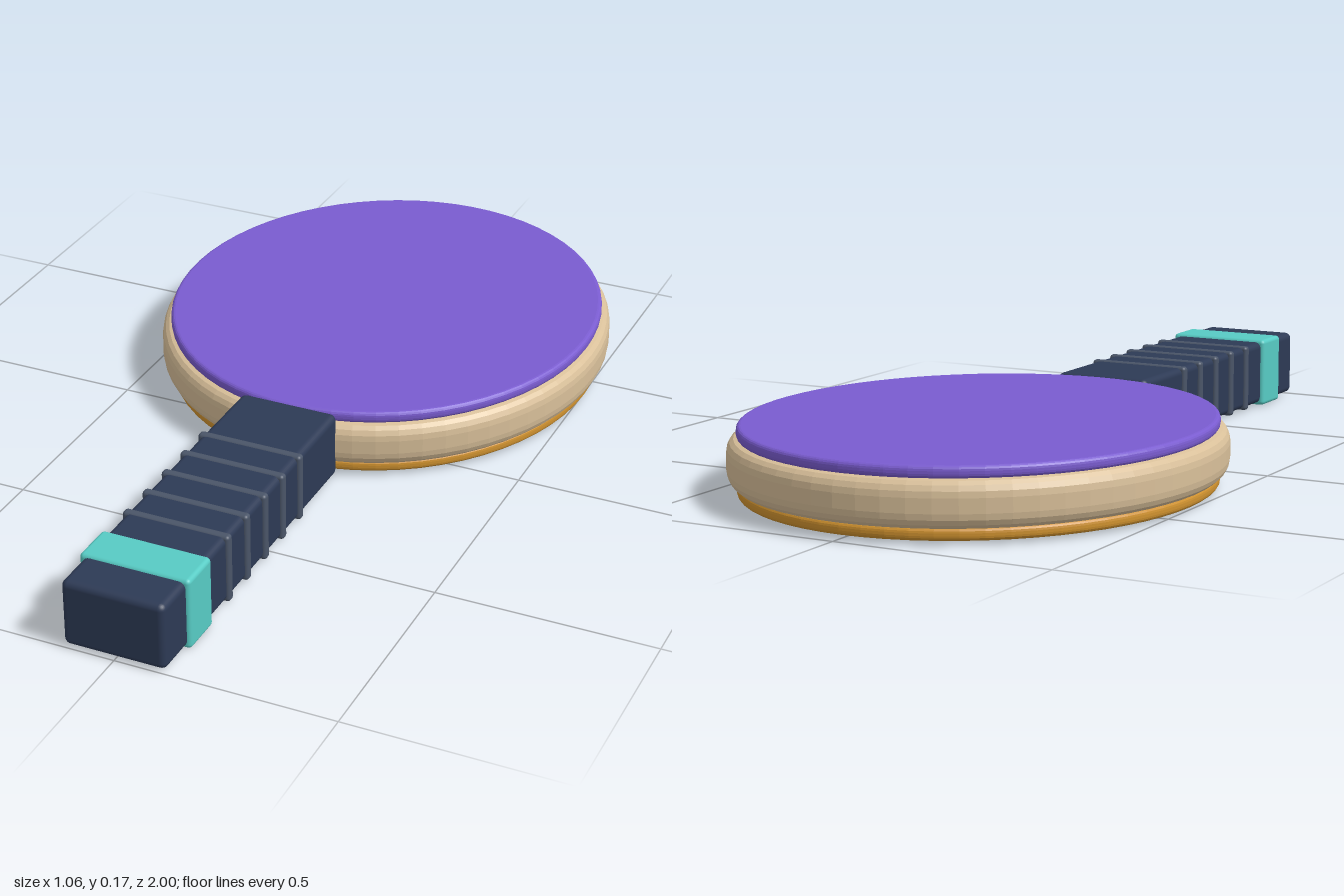
import * as THREE from 'three';
import { RoundedBoxGeometry } from 'three/addons/geometries/RoundedBoxGeometry.js';

const material = (name, color) => {
  const m = new THREE.MeshStandardMaterial({ color });
  m.name = name;
  return m;
};

export function createModel() {
  const wood = material('wood', 0xd9c09a);
  const purple = material('purple rubber', 0x7a5cd0);
  const amber = material('amber rubber', 0xd0922f);
  const navy = material('navy grip', 0x2d3a55);
  const slate = material('slate ribs', 0x4a5568);
  const teal = material('teal band', 0x57cbc4);

  const model = new THREE.Group();
  model.name = 'paddle';

  const add = (name, geometry, mat) => {
    const mesh = new THREE.Mesh(geometry, mat);
    mesh.name = name;
    model.add(mesh);
    return mesh;
  };

  // Flat oval disc with a rounded edge, lying between heights y0 and y1
  const oval = (name, rx, rz, y0, y1, bevelH, bevelOut, mat) => {
    const shape = new THREE.Shape();
    shape.absellipse(0, 0, rx - bevelOut, rz - bevelOut, 0, Math.PI * 2);
    const geometry = new THREE.ExtrudeGeometry(shape, {
      depth: y1 - y0 - 2 * bevelH,
      bevelThickness: bevelH,
      bevelSize: bevelOut,
      bevelSegments: 4,
      curveSegments: 32,
    });
    geometry.rotateX(-Math.PI / 2);
    geometry.translate(0, y0 + bevelH, -0.41);
    return add(name, geometry, mat);
  };

  // Rounded block centred on the handle axis
  const block = (name, w, h, z0, z1, r, mat) => {
    const mesh = add(name, new RoundedBoxGeometry(w, h, z1 - z0, 3, r), mat);
    mesh.position.set(0, 0.086, (z0 + z1) / 2);
    return mesh;
  };

  // Blade and its two rubber faces
  oval('blade', 0.532, 0.59, 0.035, 0.137, 0.035, 0.026, wood);
  oval('topRubber', 0.511, 0.567, 0.135, 0.163, 0.011, 0.01, purple);
  oval('bottomRubber', 0.511, 0.567, 0.009, 0.037, 0.011, 0.01, amber);

  // Handle
  block('handle', 0.236, 0.156, 0.15, 1.0, 0.015, navy);

  // Grip ribs
  for (let i = 0; i < 5; i++) {
    const z = 0.355 + i * 0.0885;
    block('gripRib', 0.25, 0.162, z - 0.011, z + 0.011, 0.008, slate);
  }

  // Coloured band near the butt end
  block('band', 0.254, 0.168, 0.8, 0.903, 0.01, teal);

  return model;
}
